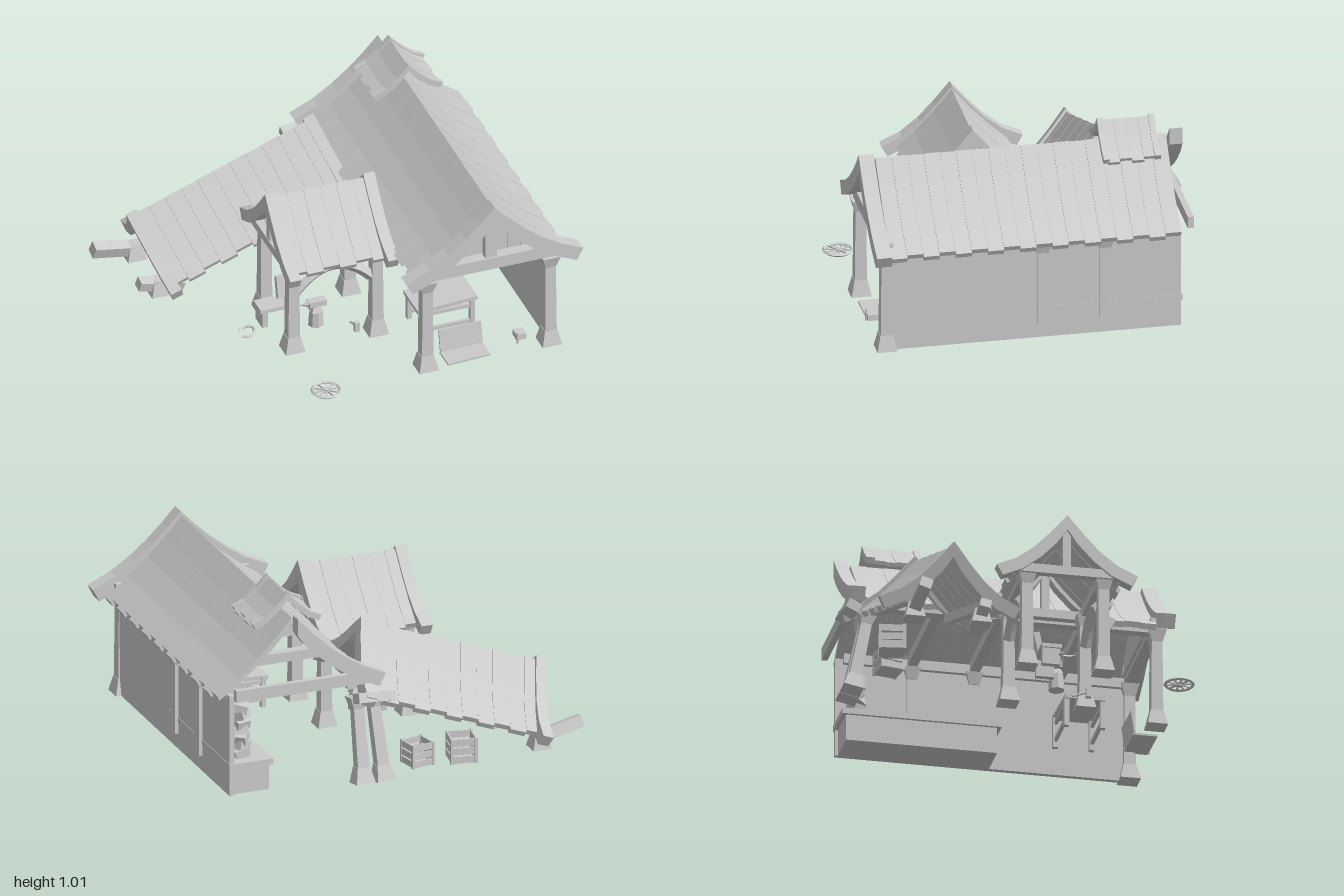
import * as THREE from 'three';

const mat = new THREE.MeshStandardMaterial({ color: 0xcccccc, flatShading: true, side: THREE.DoubleSide });

function add(parent, name, geo, x = 0, y = 0, z = 0, rx = 0, ry = 0, rz = 0) {
  const m = new THREE.Mesh(geo, mat);
  m.name = name;
  m.position.set(x, y, z);
  m.rotation.set(rx, ry, rz);
  parent.add(m);
  return m;
}
const box = (w, h, d) => new THREE.BoxGeometry(w, h, d);
// Square frustum given its full top and bottom widths
const frustum = (top, bottom, h) =>
  new THREE.CylinderGeometry(top * Math.SQRT1_2, bottom * Math.SQRT1_2, h, 4).rotateY(Math.PI / 4);

// Curved roof section: [x, y] points run from ridge to eave, extruded along z and centred
function band(pts, t, depth, sides = 'both') {
  const under = pts.map(([x, y], i) => [i ? x - t * 0.45 : 0, y - t * (i ? 0.85 : 1.15)]);
  const flip = p => p.map(([x, y]) => [-x, y]);
  const right = [...pts, ...under.slice().reverse()];
  const outline = sides === 'left' ? flip(right)
    : [...flip(pts).reverse(), ...pts.slice(1), ...under.slice().reverse(), ...flip(under).slice(1)];
  const shape = new THREE.Shape(outline.map(p => new THREE.Vector2(...p)));
  return new THREE.ExtrudeGeometry(shape, { depth, bevelEnabled: false }).translate(0, 0, -depth / 2);
}

// Roof covering made of planks with uneven eaves, ridge along z
function plankRoof(parent, name, pts, t, z0, z1, count) {
  const w = (z1 - z0) / count, last = pts.length - 1;
  for (let i = 0; i < count; i++) {
    const k = i % 2;
    const p = pts.map(([x, y], j) => (j === last ? [x + k * 0.012, y - k * 0.01] : [x, y - k * 0.002]));
    add(parent, name, band(p, t, w * 0.99), 0, 0, z0 + w * (i + 0.5));
  }
}

// Post with splayed foot and flared head
function post(parent, name, x, z, top = 0.53, y0 = 0.02) {
  const g = new THREE.Group();
  g.name = name;
  add(g, 'postFoot', frustum(0.065, 0.1, 0.08), 0, y0 + 0.04);
  add(g, 'postShaft', frustum(0.052, 0.06, top - y0 - 0.08), 0, (top + y0 + 0.08) / 2);
  add(g, 'postHead', frustum(0.09, 0.055, 0.06), 0, top - 0.03);
  g.position.set(x, 0, z);
  parent.add(g);
  return g;
}

// Open slatted crate
function crate(parent, x, y, z, s, ry) {
  const g = new THREE.Group();
  g.name = 'crate';
  add(g, 'crateBottom', box(s * 0.9, s * 0.08, s * 0.9), 0, -s * 0.44);
  for (let k = 0; k < 4; k++) {
    const side = new THREE.Group();
    side.rotation.y = k * Math.PI / 2;
    for (let i = -1; i <= 1; i++) add(side, 'crateSlat', box(s, s * 0.27, s * 0.07), 0, i * s * 0.34, s * 0.46);
    add(side, 'crateCorner', box(s * 0.12, s, s * 0.1), s * 0.44, 0, s * 0.48);
    g.add(side);
  }
  g.position.set(x, y, z);
  g.rotation.y = ry;
  parent.add(g);
}

function mainHall() {
  const g = new THREE.Group();
  g.name = 'mainHall';
  const X = 0.537;
  const roof = new THREE.Group();
  roof.name = 'mainRoof';
  roof.position.x = X;
  g.add(roof);
  const cover = [[0, 0.9], [0.09, 0.802], [0.18, 0.712], [0.28, 0.628], [0.392, 0.548]];
  plankRoof(roof, 'mainRoofPlank', cover, 0.03, -0.7, 0.74, 18);
  const gable = [[0, 0.92], [0.07, 0.845], [0.15, 0.768], [0.24, 0.695], [0.34, 0.63], [0.46, 0.575]];
  add(roof, 'frontGableBeam', band(gable, 0.075, 0.075), 0, 0, 0.785);
  add(roof, 'backGableBeam', band(gable, 0.075, 0.065, 'left'), 0, 0, -0.75);
  // Gable boards, king post and tie beams
  const heights = [0.27, 0.21, 0.15, 0.1, 0.05];
  for (let i = -4; i <= 4; i++) {
    const h = heights[Math.abs(i)];
    add(roof, 'gableBoard', box(0.067, h, 0.015), i * 0.068, 0.56 + h / 2, 0.715);
  }
  add(roof, 'kingPost', box(0.06, 0.25, 0.04), 0, 0.7, 0.75);
  add(roof, 'frontTieBeam', box(0.7, 0.065, 0.06), 0, 0.565, 0.75);
  add(roof, 'backTieBeam', box(0.74, 0.06, 0.03), -0.05, 0.56, -0.76);
  for (const z of [-0.33, -0.02, 0.4]) add(roof, 'innerTieBeam', box(0.68, 0.05, 0.05), 0, 0.55, z);
  for (const x of [0.2, 0.845]) add(g, 'wallPlate', box(0.05, 0.05, 1.4), x, 0.535, 0.03);
  // Side wall with pilasters
  add(g, 'sideWall', box(0.025, 0.52, 1.45), 0.855, 0.28, 0.015);
  for (const z of [-0.02, -0.33]) {
    add(g, 'pilaster', box(0.05, 0.38, 0.05), 0.86, 0.29, z);
    add(g, 'pilasterHead', frustum(0.085, 0.05, 0.06), 0.855, 0.49, z);
  }
  post(g, 'frontPost', 0.845, 0.75);
  post(g, 'frontPost', 0.205, 0.75);
  // Leaning, broken posts at the rear corner
  for (const [x, rz] of [[0.2, 0], [0.09, -0.06]]) {
    const p = post(g, 'leaningPost', x, -0.79, 0.45);
    p.rotation.set(0.2, 0, rz);
  }
  add(g, 'brokenBeam', box(0.2, 0.05, 0.07), 0.14, 0.46, -0.79, 0.4, 0.1, 0.05);
  // Small raised ridge roof
  const vent = new THREE.Group();
  vent.name = 'ventRoof';
  vent.position.set(X, 0, -0.5);
  const cap = [[0, 1.0], [0.06, 0.935], [0.12, 0.885], [0.165, 0.86]];
  plankRoof(vent, 'ventPlank', cap, 0.02, -0.12, 0.12, 4);
  const capBeam = [[0, 1.01], [0.06, 0.945], [0.12, 0.895], [0.18, 0.868]];
  for (const z of [-0.127, 0.127]) add(vent, 'ventGableBeam', band(capBeam, 0.032, 0.03), 0, 0, z);
  g.add(vent);
  return g;
}

// Small gabled roof, ridge along z at y = 0, from z0 to z1
function smallRoof(name, z0, z1, count) {
  const g = new THREE.Group();
  g.name = name;
  const cover = [[0, 0], [0.09, -0.105], [0.19, -0.21], [0.275, -0.285]];
  plankRoof(g, 'smallRoofPlank', cover, 0.028, z0, z1, count);
  const gable = [[0, 0.02], [0.08, -0.075], [0.16, -0.16], [0.25, -0.23], [0.35, -0.275]];
  for (const z of [z0, z1]) add(g, 'smallGableBeam', band(gable, 0.065, 0.058), 0, 0, z);
  for (const x of [-0.19, 0.19]) add(g, 'smallPlate', box(0.045, 0.045, z1 - z0), x, -0.27, (z0 + z1) / 2);
  return g;
}

function porch() {
  const g = new THREE.Group();
  g.name = 'porch';
  const r = smallRoof('porchRoof', -0.255, 0.255, 6);
  r.position.set(-0.13, 0.8, 0.18);
  r.rotation.y = Math.PI / 2;
  for (const z of [-0.25, 0.25]) {
    add(r, 'porchTieBeam', box(0.46, 0.045, 0.04), 0, -0.27, z);
    add(r, 'porchKingPost', box(0.04, 0.22, 0.035), 0, -0.16, z);
  }
  g.add(r);
  for (const z of [-0.01, 0.37]) {
    for (const x of [-0.345, 0.09]) post(g, 'porchPost', x, z, 0.52);
    // Arched braces between the posts
    const arch = new THREE.QuadraticBezierCurve3(
      new THREE.Vector3(-0.32, 0.35, z), new THREE.Vector3(-0.13, 0.57, z), new THREE.Vector3(0.065, 0.35, z));
    add(g, 'archBrace', new THREE.TubeGeometry(arch, 10, 0.028, 4));
  }
  return g;
}

function collapsedWing() {
  const g = new THREE.Group();
  g.name = 'collapsedWing';
  const tilt = new THREE.Group();
  tilt.position.set(-0.88, 0.38, -0.48);
  tilt.rotation.z = 0.355;
  const r = smallRoof('collapsedRoof', 0.03, 1.01, 11);
  r.rotation.y = Math.PI / 2;
  tilt.add(r);
  g.add(tilt);
  for (const z of [-0.33, -0.66]) add(g, 'brokenPostFoot', frustum(0.06, 0.1, 0.08), -0.775, 0.055, z);
  add(g, 'fallenBeam', box(0.19, 0.06, 0.06), -0.905, 0.095, -0.65, 0.3, 0, -0.22);
  add(g, 'fallenBeam', box(0.24, 0.05, 0.055), -0.765, 0.06, -0.33, 0.2, 0, -0.25);
  crate(g, -0.14, 0.08, -0.65, 0.12, 0.2);
  crate(g, -0.36, 0.085, -0.68, 0.13, -0.15);
  return g;
}

function furnishings() {
  const g = new THREE.Group();
  g.name = 'furnishings';
  // Hearth counter with a twisted stack
  add(g, 'counter', box(0.2, 0.14, 0.75), 0.755, 0.09, -0.32);
  add(g, 'counterTop', box(0.23, 0.03, 0.79), 0.755, 0.17, -0.32);
  for (let i = 0; i < 7; i++)
    add(g, 'twistedStack', box(0.072, 0.042, 0.072), 0.775, 0.205 + i * 0.039, -0.62, 0, i * 0.45, i % 2 ? 0.25 : -0.25);
  add(g, 'vise', box(0.05, 0.03, 0.06), 0.68, 0.12, 0.78);
  add(g, 'viseHandle', new THREE.CylinderGeometry(0.006, 0.006, 0.06, 6), 0.66, 0.12, 0.81);
  // Work table
  for (const x of [0.28, 0.54]) for (const z of [0.32, 0.5])
    add(g, 'tableLeg', box(0.025, 0.16, 0.025), x, 0.1, z);
  add(g, 'tableTop', box(0.31, 0.02, 0.2), 0.41, 0.18, 0.41, 0, 0, 0.06);
  for (const z of [0.32, 0.5]) for (const y of [0.06, 0.15])
    add(g, 'tableRail', box(0.27, 0.02, 0.015), 0.41, y, z);
  // Bent plate in the doorway
  add(g, 'platePan', box(0.22, 0.01, 0.12), 0.42, 0.03, 0.72, 0, 0, 0.04);
  add(g, 'plateBack', box(0.22, 0.12, 0.01), 0.42, 0.09, 0.66, -0.15, 0, 0.02);
  // Anvil on its block
  add(g, 'anvilBlock', new THREE.CylinderGeometry(0.035, 0.04, 0.08, 8), -0.15, 0.04, 0.18);
  add(g, 'anvilFoot', frustum(0.035, 0.06, 0.03), -0.15, 0.095, 0.18);
  add(g, 'anvilBody', box(0.09, 0.03, 0.045), -0.145, 0.125, 0.18);
  add(g, 'anvilHorn', new THREE.ConeGeometry(0.018, 0.05, 6), -0.21, 0.125, 0.18, 0, 0, Math.PI / 2);
  // Low bench with a leaning back
  add(g, 'bench', box(0.2, 0.02, 0.1), -0.325, 0.11, 0.1);
  for (const x of [-0.4, -0.25]) add(g, 'benchSide', box(0.03, 0.09, 0.09), x, 0.06, 0.1);
  add(g, 'benchBack', box(0.12, 0.12, 0.03), -0.25, 0.17, 0.06, -0.2);
  // Hammer
  add(g, 'hammerHandle', new THREE.CylinderGeometry(0.006, 0.006, 0.09, 6), -0.01, 0.06, 0.33, 1.2);
  add(g, 'hammerHead', box(0.025, 0.05, 0.025), -0.01, 0.07, 0.37);
  // Horseshoe on the ground
  const shoe = new THREE.TorusGeometry(0.04, 0.008, 4, 14, Math.PI * 1.55).rotateZ(-2.4).rotateX(-Math.PI / 2);
  add(g, 'horseshoe', shoe, -0.505, 0.028, 0.165, 0, 0, 0.2);
  // Spoked wheel on the ground
  const wheel = new THREE.Group();
  wheel.name = 'wheel';
  wheel.position.set(-0.315, 0.012, 0.755);
  add(wheel, 'wheelRim', new THREE.TorusGeometry(0.068, 0.008, 4, 20).rotateX(Math.PI / 2));
  add(wheel, 'wheelHub', new THREE.CylinderGeometry(0.015, 0.015, 0.02, 8));
  for (let i = 0; i < 5; i++) add(wheel, 'wheelSpokes', box(0.13, 0.007, 0.007), 0, 0, 0, 0, i * Math.PI / 5);
  g.add(wheel);
  return g;
}

export function createModel() {
  const model = new THREE.Group();
  model.name = 'smithy';
  model.add(mainHall(), porch(), collapsedWing(), furnishings());
  return model;
}
